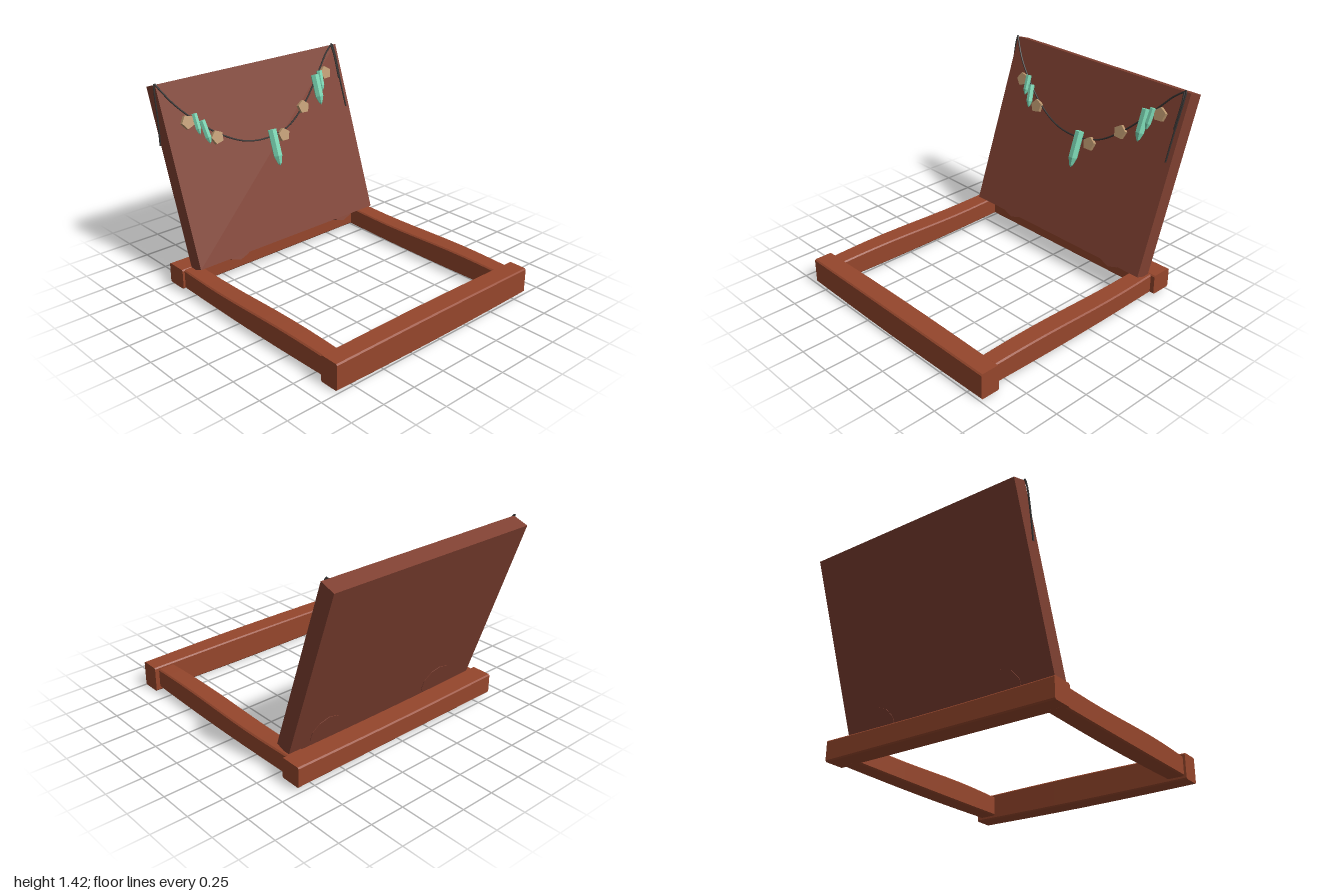
import * as THREE from 'three';

const mat = (name, color, flatShading = true) => {
  const m = new THREE.MeshStandardMaterial({ color, flatShading });
  m.name = name;
  return m;
};

export function createModel() {
  const root = new THREE.Group();
  root.name = 'leaningBoardFrame';
  const beamWood = mat('beamWood', 0x95462c);
  const boardWood = mat('boardWood', 0x7f4031);
  const crystal = mat('crystal', 0x7ad6b3);
  const shell = mat('shell', 0xb8946c);
  const cord = mat('cord', 0x33302f, false);

  const add = (name, geo, material, parent = root) => {
    const m = new THREE.Mesh(geo, material);
    m.name = name;
    parent.add(m);
    return m;
  };

  // Hand-hewn beam: chamfered section along z, bent gently along its length
  const beam = (w, h, len, bend) => {
    const c = 0.009, a = w / 2, b = h / 2;
    const section = new THREE.Shape([
      [-a + c, -b], [a - c, -b], [a, -b + c], [a, b - c],
      [a - c, b], [-a + c, b], [-a, b - c], [-a, -b + c],
    ].map(p => new THREE.Vector2(...p)));
    const geo = new THREE.ExtrudeGeometry(section, { depth: len, steps: 10, bevelEnabled: false });
    geo.translate(0, 0, -len / 2);
    const p = geo.attributes.position;
    for (let i = 0; i < p.count; i++) {
      const [dx, dy] = bend(p.getZ(i) / (len / 2), Math.sign(p.getX(i)), Math.sign(p.getY(i)));
      p.setXY(i, p.getX(i) + dx, p.getY(i) + dy);
    }
    geo.computeVertexNormals();
    return geo;
  };
  const swell = t => Math.cos(t * Math.PI / 2);

  // Ground frame
  const front = add('frontBeam',
    beam(0.14, 0.183, 1.74, (t, sx, sy) => [0.004 * sx * swell(t), sy * 0.007 * swell(t)]), beamWood);
  front.rotation.y = Math.PI / 2;
  front.position.set(0, 0.104, 0.92);
  const back = add('backBeam',
    beam(0.155, 0.145, 1.74, (t, sx, sy) => [0.005 * t, sy > 0 ? -0.008 * swell(t) : 0]), beamWood);
  back.rotation.y = Math.PI / 2;
  back.position.set(0, 0.108, -0.662);
  for (const side of [-1, 1]) {
    const rail = add(side < 0 ? 'rightRail' : 'leftRail',
      beam(0.126, 0.142, 1.5, (t, sx, sy) => [
        0.006 * sx * swell(t),
        sy > 0 ? 0.008 * Math.sin(t * Math.PI) : -0.006 * swell(t),
      ]), beamWood);
    rail.position.set(side < 0 ? -0.79 : 0.775, 0.106, 0.13);
  }

  // Leaning board; local origin on its lower front edge, local +z out of its face
  const tilt = 0.329;
  const lean = new THREE.Group();
  lean.name = 'leaningBoard';
  lean.position.set(0, 0.197, -0.472);
  lean.rotation.x = -tilt;
  root.add(lean);
  const up = y => (y - 0.197) / Math.cos(tilt);
  const board = add('board', new THREE.BoxGeometry(1.605, 1.284, 0.115), boardWood, lean);
  board.position.set(0.012, 0.642, -0.0575);

  // Round pegs let into the foot of the board
  for (const x of [-0.44, 0.54]) {
    const peg = add('footPeg', new THREE.CylinderGeometry(0.125, 0.125, 0.09, 10), boardWood, lean);
    peg.rotation.x = Math.PI / 2;
    peg.position.set(x, 0.088, -0.073);
  }

  // Cord draped over the face, with two loose ends
  const rope = (name, pts) => add(name, new THREE.TubeGeometry(
    new THREE.CatmullRomCurve3(pts.map(([x, y, z]) => new THREE.Vector3(x, up(y), z))),
    48, 0.006, 6), cord, lean);
  rope('garlandCord', [
    [-0.79, 1.41, 0.004], [-0.7, 1.28, 0.006], [-0.6, 1.175, 0.006], [-0.4, 1.015, 0.006],
    [-0.2, 0.92, 0.006], [0, 0.898, 0.006], [0.2, 0.935, 0.006], [0.4, 1.065, 0.006],
    [0.6, 1.26, 0.006], [0.7, 1.365, 0.006], [0.77, 1.415, 0.004],
  ]);
  rope('cordEnd', [[-0.782, 1.4, 0.004], [-0.793, 1.42, 0], [-0.802, 1.38, -0.005],
    [-0.808, 1.2, -0.04], [-0.813, 1.03, -0.085]]);
  rope('cordEnd', [[0.76, 1.405, 0.006], [0.775, 1.42, 0.004], [0.782, 1.35, 0.008],
    [0.778, 1.15, 0.008], [0.778, 0.96, 0.008]]);
  rope('cordEnd', [[0.765, 1.41, 0.006], [0.772, 1.35, 0.008], [0.77, 1.17, 0.008]]);

  // Crystals: faceted prisms tapering to a point below [x, top, bottom, radius, roll]
  for (const [x, top, bottom, r, roll] of [
    [0.035, 0.945, 0.69, 0.034, 0],
    [-0.565, 1.18, 1.04, 0.021, 0.05],
    [-0.517, 1.125, 0.965, 0.023, 0.14],
    [0.53, 1.235, 1.02, 0.032, 0],
    [0.58, 1.255, 1.11, 0.022, -0.06],
  ]) {
    const h = up(top) - up(bottom);
    const profile = [[0, -h], [r * 0.45, -h * 0.93], [r, -h * 0.72], [r, 0], [0, 0]];
    const gem = add('crystal', new THREE.LatheGeometry(
      profile.map(p => new THREE.Vector2(...p)), 6, Math.PI / 6), crystal, lean);
    gem.position.set(x, up(top), 0.026);
    gem.rotation.z = roll;
  }

  // Five-sided shell tokens [x, y, spin]
  for (const [x, y, spin] of [
    [-0.625, 1.138, 0.35], [-0.425, 0.995, 0.2], [0.135, 0.888, 0], [0.365, 1.037, -0.05], [0.64, 1.23, 0.05],
  ]) {
    const token = new THREE.Group();
    token.name = 'shellToken';
    token.position.set(x, up(y), 0.014);
    token.rotation.z = spin;
    lean.add(token);
    const disc = add('tokenDisc', new THREE.CylinderGeometry(0.05, 0.05, 0.026, 5), shell, token);
    disc.rotation.set(Math.PI / 2, Math.PI, 0);
  }
  return root;
}
